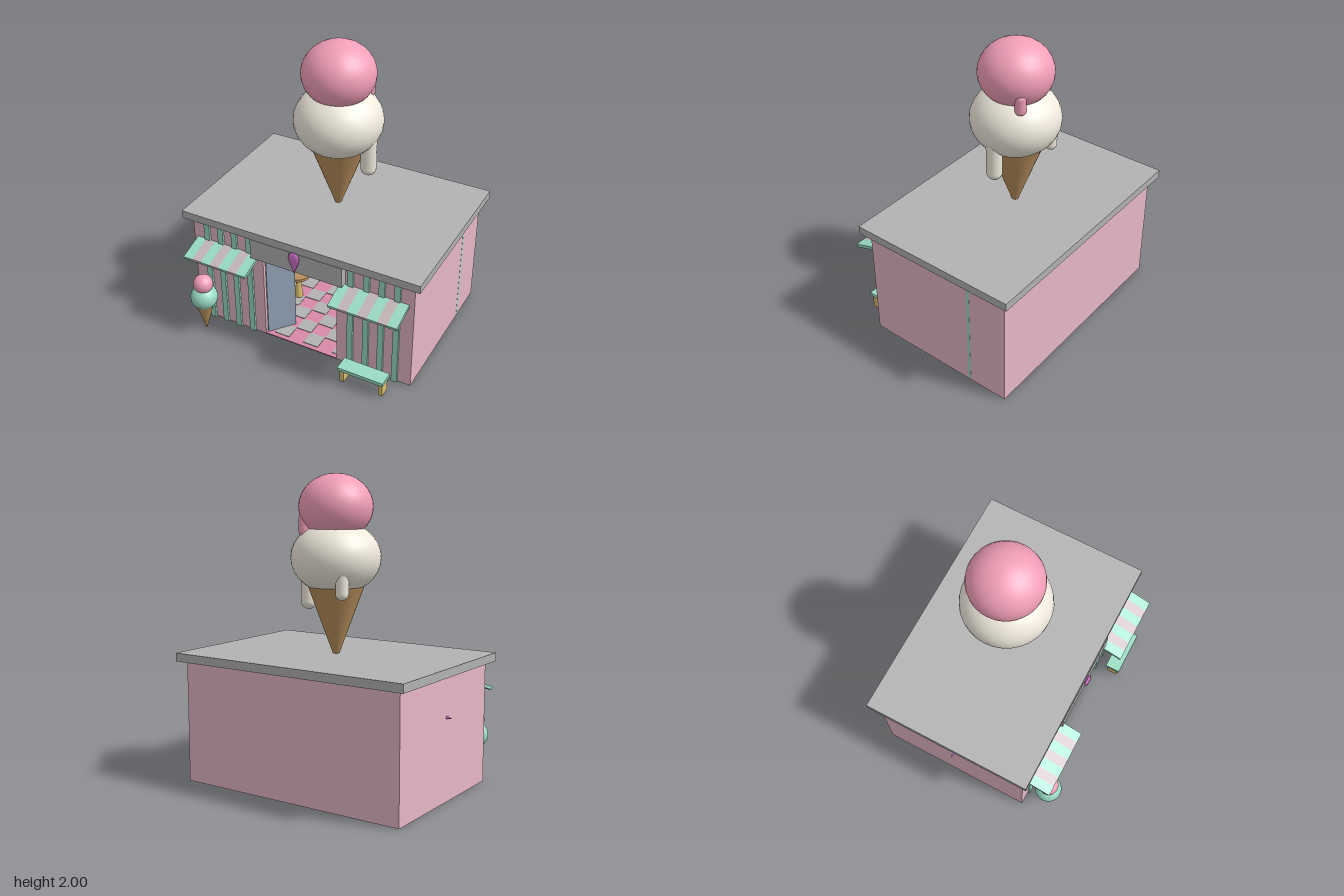
import * as THREE from 'three';

const PINK = 0xe6b8c6, MINT = 0x9adcc4, GREY = 0xb2b2b2, ROSE = 0xf29fb8, CREAM = 0xf0eadd,
  WAFER = 0xb88f5c, WOOD = 0xdcc070, MAGENTA = 0xd070c8;

const mats = {};
const mat = (color) => (mats[color] ??= new THREE.MeshStandardMaterial({ color }));

function add(parent, name, geometry, color, x = 0, y = 0, z = 0) {
  const mesh = new THREE.Mesh(geometry, mat(color));
  mesh.name = name;
  mesh.position.set(x, y, z);
  parent.add(mesh);
  return mesh;
}

// Box given by its min and max along each axis
const box = (parent, name, color, x0, x1, y0, y1, z0, z1) =>
  add(parent, name, new THREE.BoxGeometry(x1 - x0, y1 - y0, z1 - z0), color,
    (x0 + x1) / 2, (y0 + y1) / 2, (z0 + z1) / 2);

function scoop(parent, name, color, r, ry, y) {
  const s = add(parent, name, new THREE.SphereGeometry(r, 32, 16), color, 0, y, 0);
  s.scale.y = ry / r;
}

// Rounded drip hanging between two heights
function drip(parent, name, color, r, y0, y1, x, z) {
  add(parent, name, new THREE.CapsuleGeometry(r, y1 - y0 - 2 * r, 8, 16), color, x, (y0 + y1) / 2, z);
}

function cone(parent, rTop, rTip, y0, y1) {
  add(parent, 'waferCone', new THREE.CylinderGeometry(rTop, rTip, y1 - y0, 32), WAFER, 0, (y0 + y1) / 2, 0);
}

// Teardrop: round above, pointed below
function teardrop(r, h) {
  const pts = [[0, 0], [0.3, 0.2], [0.7, 0.45], [0.95, 0.62], [1, 0.75], [0.85, 0.88], [0.5, 0.97], [0, 1]];
  return new THREE.LatheGeometry(pts.map(([a, b]) => new THREE.Vector2(a * r, (b - 0.5) * h)), 16);
}

function group(parent, name, x = 0, y = 0, z = 0) {
  const g = new THREE.Group();
  g.name = name;
  g.position.set(x, y, z);
  parent.add(g);
  return g;
}

export function createModel() {
  const model = new THREE.Group();
  model.name = 'iceCreamShop';

  // Hollow building shell with a doorway
  const shell = group(model, 'building');
  box(shell, 'floor', 0xd98aa8, -0.79, 0.79, 0, 0.008, -0.61, 0.45);
  box(shell, 'backWall', PINK, -0.8, 0.8, 0, 0.8, -0.62, -0.59);
  for (const s of [-1, 1]) {
    const a = s * 0.77, b = s * 0.8, c = s * 0.27;
    box(shell, 'sideWall', PINK, Math.min(a, b), Math.max(a, b), 0, 0.8, -0.59, 0.42);
    box(shell, 'frontWall', PINK, Math.min(c, b), Math.max(c, b), 0, 0.8, 0.42, 0.45);
  }
  box(shell, 'doorLintel', PINK, -0.27, 0.27, 0.655, 0.8, 0.42, 0.45);
  box(shell, 'roof', GREY, -0.85, 0.85, 0.8, 0.855, -0.67, 0.5);
  box(shell, 'signBoard', GREY, -0.33, 0.33, 0.655, 0.8, 0.45, 0.503);

  // Facade strips, awnings
  for (const s of [-1, 1]) {
    for (const x of [0.37, 0.48, 0.585, 0.69])
      box(shell, 'facadeStrip', MINT, s * x - 0.02, s * x + 0.02, 0, 0.8, 0.45, 0.465);
    const awning = group(model, 'awning', s * 0.533, 0.615, 0.541);
    awning.rotation.x = 0.31;
    const w = 0.47 / 7;
    for (let i = 0; i < 7; i++)
      add(awning, 'awningStripe', new THREE.BoxGeometry(w, 0.022, 0.185), i % 2 ? 0xc4b6b8 : MINT, (i - 3) * w);
  }

  // Door swung inwards
  const door = group(model, 'door', -0.265, 0, 0.43);
  door.rotation.y = 0.9;
  box(door, 'doorPanel', 0x93a5b8, 0, 0.2, 0.01, 0.65, -0.008, 0.008);

  // Teardrop ornaments on the sign and the side wall
  add(model, 'signOrnament', teardrop(0.04, 0.16), MAGENTA, 0, 0.735, 0.515).scale.z = 0.35;
  const spike = add(model, 'sideOrnament', teardrop(0.01, 0.06), MAGENTA, -0.81, 0.535, -0.07);
  spike.rotation.z = -Math.PI / 2;

  // Inside: checkered floor, partition, counter, freezer and table
  const inside = group(model, 'interior');
  for (let i = 0; i < 14; i++)
    for (let j = 0; j < 7; j++)
      if ((i + j) % 2) box(inside, 'floorTile', GREY, -0.77 + i * 0.11, -0.66 + i * 0.11,
        0.008, 0.012, -0.33 + j * 0.107, -0.223 + j * 0.107);
  box(inside, 'partition', MINT, -0.77, -0.2, 0.01, 0.8, -0.35, -0.33);
  box(inside, 'partition', MINT, 0.16, 0.801, 0.01, 0.8, -0.35, -0.33);
  box(inside, 'partitionTop', MINT, -0.2, 0.16, 0.54, 0.8, -0.35, -0.33);
  box(inside, 'freezer', 0xcccccc, -0.18, 0.02, 0.01, 0.32, -0.58, -0.42);
  box(inside, 'counter', PINK, 0.065, 0.6, 0.01, 0.215, -0.2, 0);
  box(inside, 'counterTop', GREY, 0.055, 0.61, 0.215, 0.243, -0.21, 0.01);
  box(inside, 'displayCase', 0xbcd6ee, 0.065, 0.6, 0.243, 0.41, -0.19, -0.01);
  add(inside, 'tableTop', new THREE.CylinderGeometry(0.08, 0.08, 0.02, 24), WAFER, -0.27, 0.2, 0);
  add(inside, 'tableLeg', new THREE.CylinderGeometry(0.015, 0.03, 0.19, 12), WOOD, -0.27, 0.1, 0);

  // Bench
  const bench = group(model, 'bench');
  box(bench, 'seat', MINT, 0.37, 0.69, 0.095, 0.12, 0.53, 0.635);
  for (const x of [0.396, 0.668]) box(bench, 'benchLeg', WOOD, x - 0.014, x + 0.014, 0, 0.095, 0.545, 0.62);

  // Giant cone on the roof
  const big = group(model, 'roofCone', 0, 0, -0.085);
  cone(big, 0.182, 0.02, 0.85, 1.29);
  scoop(big, 'lowerScoop', CREAM, 0.29, 0.236, 1.47);
  scoop(big, 'upperScoop', ROSE, 0.238, 0.21, 1.79);
  drip(big, 'sideDrip', CREAM, 0.052, 1.125, 1.45, 0.215, 0);
  drip(big, 'backDrip', CREAM, 0.042, 1.22, 1.45, -0.155, -0.16);
  drip(big, 'upperDrip', ROSE, 0.036, 1.6, 1.75, 0.143, -0.143);

  // Small cone by the entrance
  const small = group(model, 'standingCone', -0.667, 0, 0.582);
  cone(small, 0.06, 0.003, 0, 0.205);
  scoop(small, 'lowerScoop', MINT, 0.092, 0.088, 0.268);
  scoop(small, 'upperScoop', ROSE, 0.067, 0.065, 0.375);

  return model;
}
